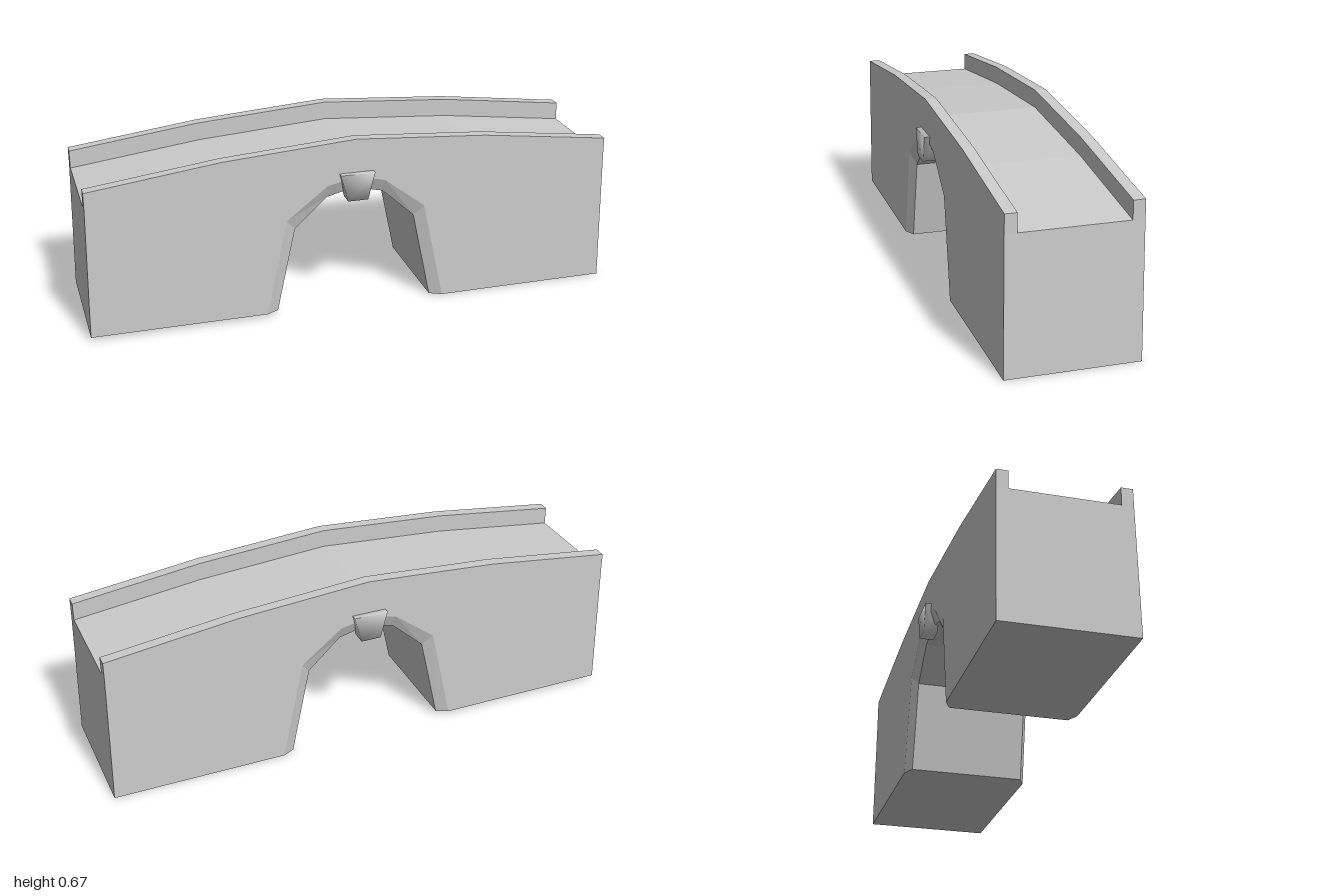
import * as THREE from 'three';
import { toCreasedNormals } from 'three/addons/utils/BufferGeometryUtils.js';

const material = new THREE.MeshStandardMaterial({ color: 0xcccccc });

// Crown of the bridge; the deck lies a fixed drop below it
const crown = [[-0.99, 0.573], [-0.5, 0.635], [0, 0.671], [0.5, 0.635], [0.99, 0.573]];
const DROP = 0.068;
const deck = crown.map(([x, y]) => [x, y - DROP]);

// Arch on the faces, and the narrower arch inside the chamfer
const archFace = [[-0.345, 0.013], [-0.265, 0.38], [-0.11, 0.5], [0, 0.525], [0.11, 0.5], [0.265, 0.38], [0.345, 0]];
const archInner = [[-0.3, 0.013], [-0.23, 0.337], [-0.107, 0.45], [0, 0.475], [0.107, 0.45], [0.23, 0.337], [0.3, 0]];

// The walls lean in slightly towards the top
const halfWidth = (y) => 0.242 - 0.007 * y;

function makeShape(points) {
  return new THREE.Shape(points.map(([x, y]) => new THREE.Vector2(x, y)));
}

// Extrude an outline in steps, then let a rule place each vertex of each row
function extrudeRows(points, steps, rule) {
  const geometry = new THREE.ExtrudeGeometry(makeShape(points), { depth: steps, steps, bevelEnabled: false });
  const p = geometry.attributes.position;
  for (let i = 0; i < p.count; i++) {
    p.setXYZ(i, ...rule(p.getX(i), p.getY(i), Math.round(p.getZ(i))));
  }
  geometry.computeVertexNormals();
  return geometry;
}

function addMesh(parent, name, geometry) {
  const mesh = new THREE.Mesh(geometry, material);
  mesh.name = name;
  parent.add(mesh);
  return mesh;
}

export function createModel() {
  const bridge = new THREE.Group();
  bridge.name = 'bridge';

  // Body with a chamfered arch: the two middle rows take the inner arch
  const outline = [[-1, 0.013], ...archFace, [1, 0], ...[...deck].reverse()];
  const body = extrudeRows(outline, 3, (x, y, row) => {
    const side = row < 2 ? -1 : 1;
    if (row === 0 || row === 3) return [x, y, side * halfWidth(y)];
    const k = archFace.findIndex(([ax, ay]) => Math.hypot(ax - x, ay - y) < 1e-4);
    if (k >= 0) [x, y] = archInner[k];
    return [x, y, side * (halfWidth(y) - 0.022)];
  });
  addMesh(bridge, 'archBody', body);

  // Parapets along both edges of the deck
  const wall = [...deck, ...[...crown].reverse()];
  for (const side of [-1, 1]) {
    const geometry = extrudeRows(wall, 1, (x, y, row) => {
      const outer = (row === 1) === (side > 0);
      return [x, y, side * (outer ? halfWidth(y) : 0.195)];
    });
    addMesh(bridge, side > 0 ? 'frontParapet' : 'backParapet', geometry);
  }

  // Tapered keystones standing proud of both faces
  const stone = [[-0.038, 0.44], [0.038, 0.44], [0.065, 0.543], [-0.065, 0.543]];
  for (const side of [-1, 1]) {
    const geometry = extrudeRows(stone, 1, (x, y, row) => [x, y, side * 0.2325 + (row - 0.5) * 0.055]);
    addMesh(bridge, side > 0 ? 'frontKeystone' : 'backKeystone', toCreasedNormals(geometry, 1.6));
  }

  return bridge;
}
